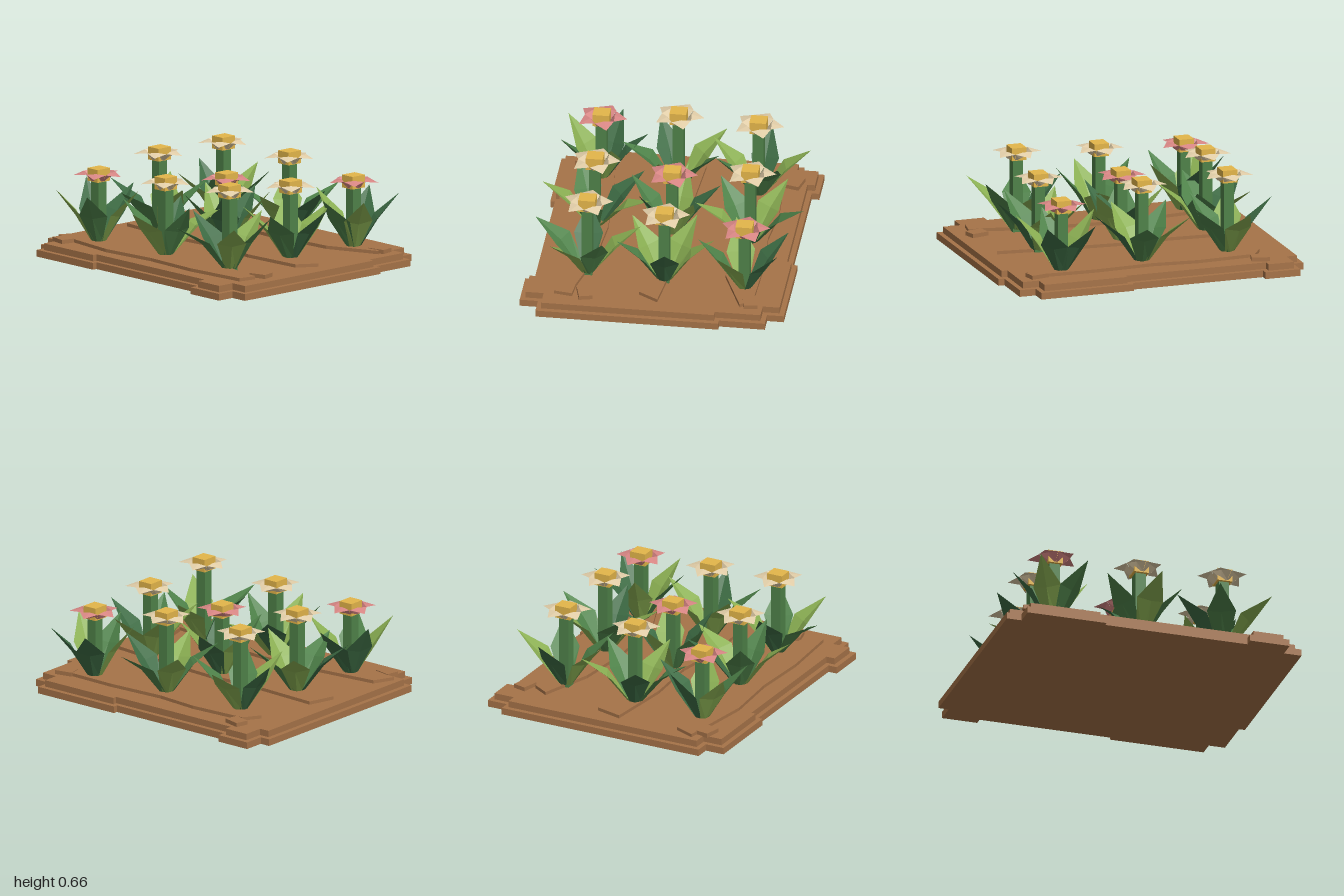
import * as THREE from 'three';

const mat = (name, color, side = THREE.FrontSide) => {
  const m = new THREE.MeshStandardMaterial({ color, side });
  m.name = name;
  return m;
};
const D2 = THREE.DoubleSide;
const soil = mat('soil brown', 0xa67348);
const stemGreen = mat('stem green', 0x4f8249);
const gold = mat('centre gold', 0xe4b64a);
const leafMats = {
  L: mat('light leaf green', 0x8bb053, D2),
  M: mat('mid leaf green', 0x4f834a, D2),
  D: mat('dark leaf green', 0x3e6d45, D2),
};
const petalMats = { cream: mat('cream', 0xe3cfa9, D2), pink: mat('pink', 0xd98785, D2) };

function addMesh(parent, name, geometry, material, x = 0, y = 0, z = 0) {
  const mesh = new THREE.Mesh(geometry, material);
  mesh.name = name;
  mesh.position.set(x, y, z);
  parent.add(mesh);
  return mesh;
}

// Flat slab from an outline of [x, z] points
function slab(points, height) {
  const shape = new THREE.Shape(points.map(([x, z]) => new THREE.Vector2(x, -z)));
  return new THREE.ExtrudeGeometry(shape, { depth: height, bevelEnabled: false }).rotateX(-Math.PI / 2);
}

// Move every edge of a right-angled outline inwards
function inset(points, d) {
  const n = points.length;
  const dir = (a, b) => [Math.sign(b[0] - a[0]), Math.sign(b[1] - a[1])];
  return points.map((p, i) => {
    const u = dir(points[(i + n - 1) % n], p), v = dir(p, points[(i + 1) % n]);
    return [p[0] - (u[1] + v[1]) * d, p[1] + (u[0] + v[0]) * d];
  });
}

// Folded blade along +x: creased base and middle [r, y, halfWidth, keelDrop], pointed tip [r, y]
function blade(base, mid, tip) {
  const row = ([r, y, w, drop]) => [[r, y, -w], [r + drop, y - drop, 0], [r, y, w]];
  const a = row(base), b = row(mid), t = [tip[0], tip[1], 0];
  const tris = [];
  for (let i = 0; i < 2; i++) {
    tris.push(a[i], b[i + 1], a[i + 1], a[i], b[i], b[i + 1], b[i], t, b[i + 1]);
  }
  const g = new THREE.BufferGeometry();
  g.setAttribute('position', new THREE.Float32BufferAttribute(tris.flat(), 3));
  g.computeVertexNormals();
  return g;
}

const outline = [
  [-1, -0.73], [-0.93, -0.73], [-0.93, -0.87], [-0.69, -0.87], [-0.69, -0.82], [0.21, -0.82],
  [0.21, -0.85], [0.85, -0.85], [0.85, -0.74], [0.96, -0.74], [0.96, -0.44], [1, -0.44],
  [1, 0.76], [0.88, 0.76], [0.88, 0.88], [0.61, 0.88], [0.61, 0.82], [-0.36, 0.82],
  [-0.36, 0.85], [-0.9, 0.85], [-0.9, 0.72], [-1, 0.72],
];
const ridges = [
  [[-0.77, -0.53], [-0.7, -0.64], [-0.3, -0.66], [0, -0.63], [0.4, -0.65], [0.76, -0.64],
    [0.85, -0.56], [0.5, -0.42], [0, -0.39], [-0.4, -0.42]],
  [[-0.88, 0.07], [-0.83, -0.11], [-0.3, -0.08], [0, -0.1], [0.4, -0.07], [0.86, -0.02],
    [0.78, 0.11], [0.35, 0.13], [0, 0.08], [-0.4, 0.11]],
  [[-0.93, 0.63], [-0.87, 0.49], [-0.4, 0.44], [0, 0.42], [0.4, 0.45], [0.74, 0.53],
    [0.86, 0.54], [0.84, 0.66], [0.4, 0.69], [0, 0.67], [-0.4, 0.7]],
];
const clods = [[-0.71, -0.71, -0.25], [0.8, -0.62, 0.2], [0.83, 0.46, 0.25], [-0.82, 0.69, -0.2]];

// Plants: place, top height, petal colour, leaf colours and leaf tips [x, z] around the stem
const plants = [
  { at: [-0.56, -0.49], top: 0.66, petal: 'cream', leaves: 'LMMLD',
    tips: [[-0.04, -0.34], [0.27, -0.16], [0.17, 0.26], [-0.1, 0.31], [-0.29, -0.05]] },
  { at: [0.04, -0.52], top: 0.655, petal: 'cream', leaves: 'MDLML',
    tips: [[0.09, -0.36], [0.33, -0.01], [0.09, 0.35], [-0.25, 0.23], [-0.27, -0.21]] },
  { at: [0.61, -0.56], top: 0.58, petal: 'pink', leaves: 'DDLML',
    tips: [[-0.14, -0.27], [0.18, -0.24], [0.26, 0.15], [0.03, 0.3], [-0.26, 0.09]] },
  { at: [-0.6, 0.04], top: 0.66, petal: 'cream', leaves: 'MLMDL',
    tips: [[0.16, -0.29], [0.32, 0.09], [0.03, 0.37], [-0.3, 0.16], [-0.21, -0.29]] },
  { at: [0, 0], top: 0.58, petal: 'pink', leaves: 'DLDML',
    tips: [[-0.06, -0.31], [0.23, -0.17], [0.18, 0.2], [-0.1, 0.28], [-0.28, -0.07]] },
  { at: [0.58, -0.03], top: 0.62, petal: 'cream', leaves: 'LDMLL',
    tips: [[0.03, -0.33], [0.3, -0.04], [0.13, 0.3], [-0.2, 0.24], [-0.26, -0.18]] },
  { at: [-0.63, 0.55], top: 0.59, petal: 'pink', leaves: 'DLMLD',
    tips: [[0, -0.31], [0.27, -0.1], [0.16, 0.25], [-0.16, 0.24], [-0.24, -0.11]] },
  { at: [-0.03, 0.51], top: 0.625, petal: 'cream', leaves: 'LMLMD',
    tips: [[0.14, -0.38], [0.28, 0.05], [0.05, 0.34], [-0.26, 0.14], [-0.18, -0.3]] },
  { at: [0.55, 0.48], top: 0.66, petal: 'cream', leaves: 'LMLMD',
    tips: [[-0.06, -0.34], [0.26, -0.13], [0.27, 0.21], [-0.13, 0.36], [-0.32, 0.03]] },
];

function createPlant({ at, top, petal, leaves, tips }, index) {
  const plant = new THREE.Group();
  plant.name = 'plant';
  plant.position.set(at[0], 0, at[1]);
  const stemTop = top - 0.085;

  // Square stem
  const stemHeight = stemTop - 0.08;
  addMesh(plant, 'stem', new THREE.BoxGeometry(0.07, stemHeight, 0.07), stemGreen, 0, 0.08 + stemHeight / 2, 0);

  // Broad creased leaves
  tips.forEach(([x, z], i) => {
    const r = Math.hypot(x, z);
    const tipY = 0.455 - (r - 0.3) * 0.6;
    const leaf = blade([0.035, 0.11, 0.035, 0.01], [r * 0.47, 0.3, 0.095, 0.018], [r, tipY]);
    addMesh(plant, 'leaf', leaf, leafMats[leaves[i]]).rotation.y = -Math.atan2(z, x);
  });

  // Blossom: square centre inside a cup of five petals with drooping tips
  const blossom = new THREE.Group();
  blossom.name = 'blossom';
  blossom.position.y = stemTop;
  plant.add(blossom);
  addMesh(blossom, 'flowerCentre', new THREE.BoxGeometry(0.1, 0.085, 0.11), gold, 0, 0.0425, 0);
  for (let i = 0; i < 5; i++) {
    const geo = blade([0.05, 0.005, 0.036, 0], [0.09, 0.055, 0.064, -0.006], [0.168, 0.04]);
    addMesh(blossom, 'petal', geo, petalMats[petal]).rotation.y =
      Math.PI / 2 + (index % 3) * 0.12 + (i * Math.PI * 2) / 5;
  }
  return plant;
}

export function createModel() {
  const model = new THREE.Group();
  model.name = 'flowerBed';

  // Two-step earth base
  addMesh(model, 'lowerSoil', slab(outline, 0.045), soil);
  addMesh(model, 'upperSoil', slab(inset(outline, 0.033), 0.043), soil, 0, 0.045, 0);

  // Planting ridges and loose clods
  for (const r of ridges) addMesh(model, 'soilRidge', slab(r, 0.022), soil, 0, 0.088, 0);
  for (const [x, z, turn] of clods) {
    addMesh(model, 'clod', new THREE.BoxGeometry(0.12, 0.03, 0.09), soil, x, 0.1, z).rotation.y = turn;
  }

  plants.forEach((p, i) => model.add(createPlant(p, i)));
  return model;
}
